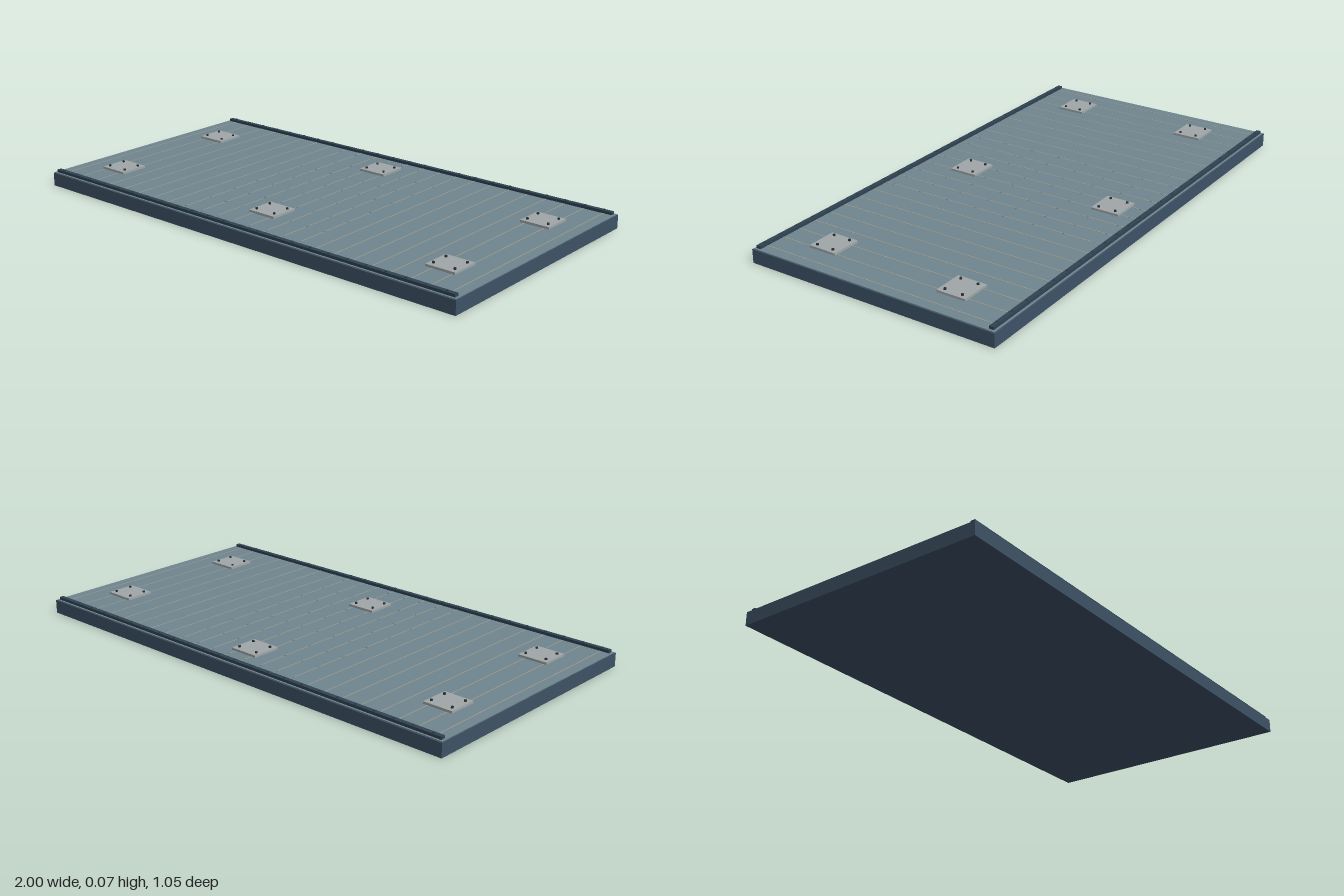
import * as THREE from 'three';

const material = (name, color) => {
  const m = new THREE.MeshStandardMaterial({ color });
  m.name = name;
  return m;
};

export function createModel() {
  const model = new THREE.Group();
  const navy = material('navy steel', 0x3d5266);
  const deckBlue = material('deck blue grey', 0x6f858e);
  const railDark = material('dark rail', 0x2f4252);
  const seamTan = material('tan seam', 0x9c9a8c);
  const plateGrey = material('plate grey', 0xa0a6a8);
  const boltDark = material('dark bolt', 0x2a2f34);

  // Box standing on the height y
  const box = (name, mat, w, h, d, x, y, z, parent = model) => {
    const mesh = new THREE.Mesh(new THREE.BoxGeometry(w, h, d), mat);
    mesh.name = name;
    mesh.position.set(x, y + h / 2, z);
    parent.add(mesh);
    return mesh;
  };
  const boltGeometry = new THREE.CylinderGeometry(0.005, 0.005, 0.006, 8);
  const bolt = (name, mat, x, y, z, parent) => {
    const mesh = new THREE.Mesh(boltGeometry, mat);
    mesh.name = name;
    mesh.position.set(x, y + 0.003, z);
    parent.add(mesh);
  };

  // Slab and deck skin
  box('slab', navy, 2, 0.054, 1.046, 0, 0, 0);
  box('deck', deckBlue, 1.992, 0.003, 1.038, 0, 0.054, 0);

  // Plank seams, with small fasteners on the middle ones
  const seams = new THREE.Group();
  seams.name = 'plankSeams';
  model.add(seams);
  for (let i = 0; i < 24; i++) {
    const x = (i - 11.5) * 0.0829;
    box('seam', seamTan, 0.004, 0.0006, 0.99, x, 0.057, 0, seams);
    if (Math.abs(x) > 0.3) continue;
    for (let j = 0; j < 8; j++) {
      box('fastener', deckBlue, 0.008, 0.0015, 0.008, x, 0.057, (j - 3.5) * 0.131, seams);
    }
  }

  // Long edge rails with a row of studs
  for (const side of [-1, 1]) {
    const rail = new THREE.Group();
    rail.name = side > 0 ? 'frontRail' : 'backRail';
    model.add(rail);
    box('railBar', railDark, 1.976, 0.011, 0.018, 0, 0.057, side * 0.503, rail);
    for (let i = 0; i < 24; i++) {
      box('railStud', railDark, 0.008, 0.003, 0.008, (i - 11.5) * 0.0829, 0.068, side * 0.503, rail);
    }
  }

  // Bolted mounting plates
  const plates = [[-0.83, -0.27], [0, -0.363], [0.83, -0.27], [-0.82, 0.301], [0, 0.293], [0.82, 0.301]];
  for (const [x, z] of plates) {
    const plate = new THREE.Group();
    plate.name = 'mountingPlate';
    plate.position.set(x, 0.057, z);
    model.add(plate);
    box('plate', plateGrey, 0.122, 0.009, 0.118, 0, 0, 0, plate);
    for (const sx of [-1, 1]) for (const sz of [-1, 1]) {
      bolt('plateBolt', boltDark, sx * 0.044, 0.009, sz * 0.036, plate);
    }
  }
  return model;
}
